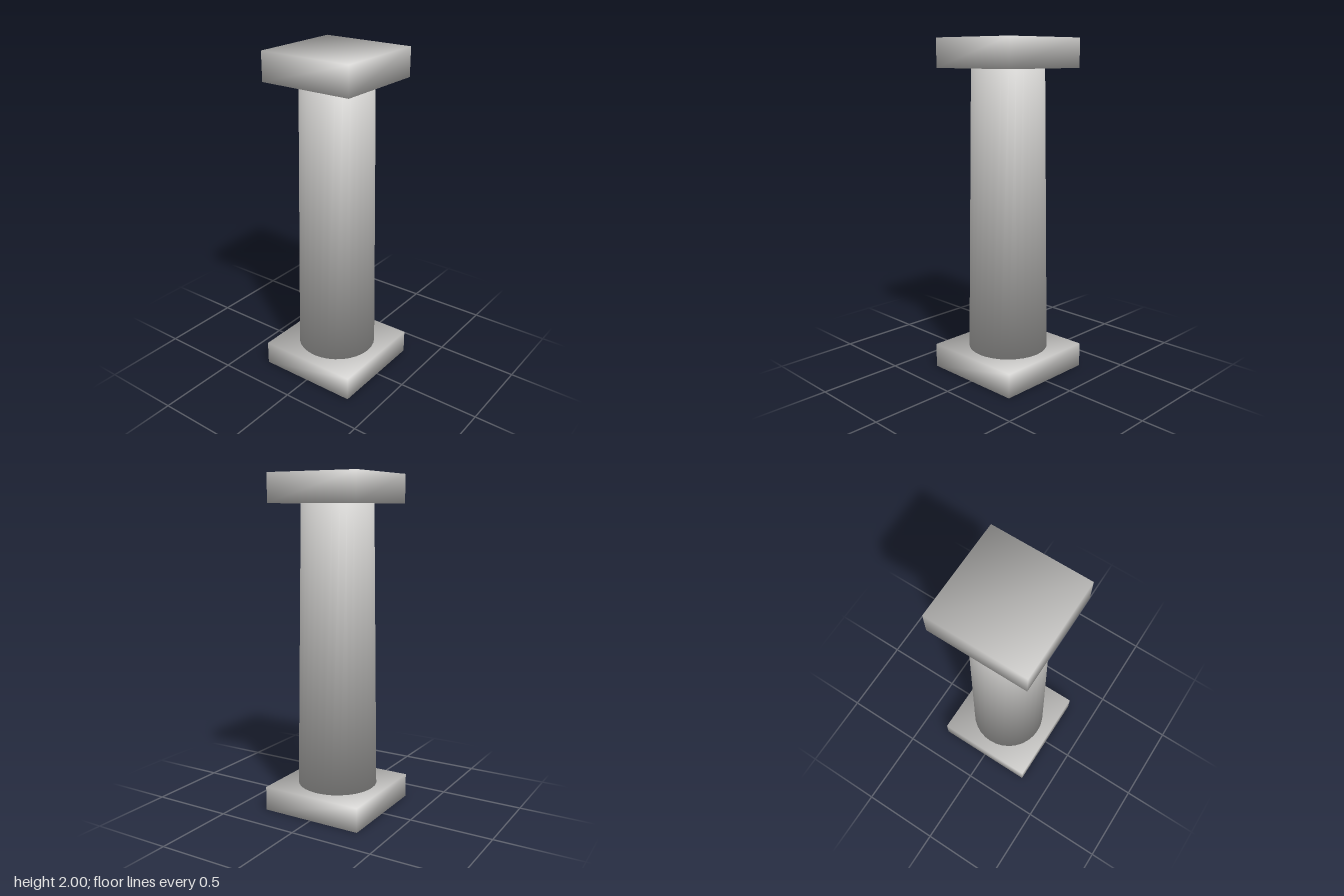
import * as THREE from 'three';

const stone = new THREE.MeshStandardMaterial({ color: 0xcccbc9 });
stone.name = 'pale stone';

// Soft shading across the edges: each normal points out from the part's own axes.
function soften(geometry, normalAt) {
  const p = geometry.attributes.position, n = geometry.attributes.normal;
  const v = new THREE.Vector3();
  for (let i = 0; i < p.count; i++) {
    normalAt(v.fromBufferAttribute(p, i)).normalize();
    n.setXYZ(i, v.x, v.y, v.z);
  }
  return geometry;
}

// Square slab between two heights
function slab(name, width, bottom, top) {
  const geometry = soften(new THREE.BoxGeometry(width, top - bottom, width),
    v => v.set(Math.sign(v.x), Math.sign(v.y), Math.sign(v.z)));
  const mesh = new THREE.Mesh(geometry, stone);
  mesh.name = name;
  mesh.position.y = (bottom + top) / 2;
  return mesh;
}

// Round shaft, narrowing upwards
function taperedShaft(topRadius, bottomRadius, bottom, top) {
  const geometry = soften(
    new THREE.CylinderGeometry(topRadius, bottomRadius, top - bottom, 32),
    v => {
      const r = Math.hypot(v.x, v.z);
      const up = Math.sign(v.y);
      return r < 1e-4 ? v.set(0, up, 0) : v.set(v.x / r, up * 0.94, v.z / r);
    });
  const mesh = new THREE.Mesh(geometry, stone);
  mesh.name = 'shaft';
  mesh.position.y = (bottom + top) / 2;
  return mesh;
}

export function createModel() {
  const column = new THREE.Group();
  column.name = 'column';
  column.add(
    slab('base', 0.63, 0, 0.145),
    taperedShaft(0.213, 0.24, 0.145, 1.83),
    slab('capital', 0.58, 1.83, 2)
  );
  return column;
}
